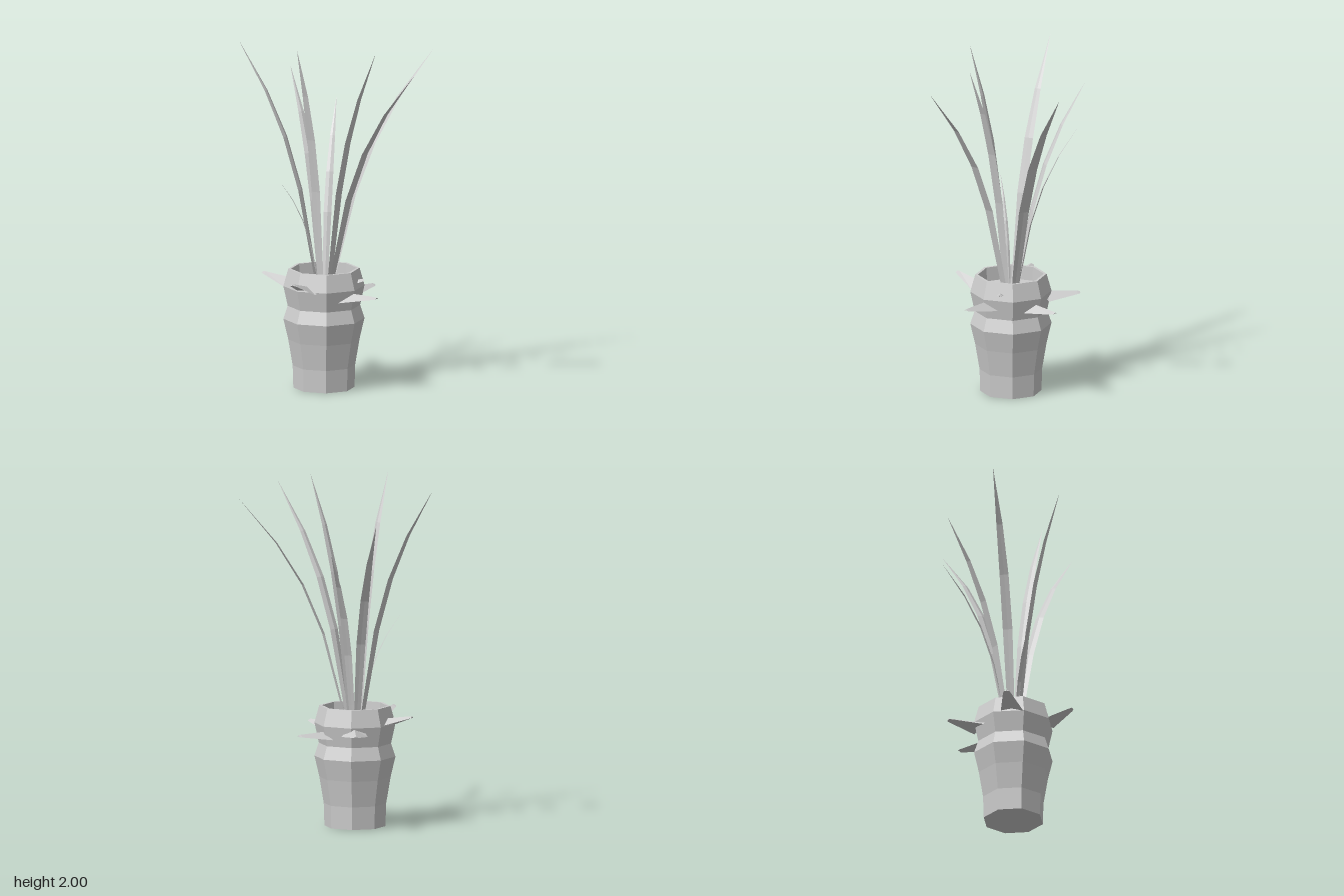
import * as THREE from 'three';

const CX = -0.09, CZ = 0.135; // pot axis

// Eight-sided faceted lathe around the pot axis
function octagon(name, profile, mat) {
  const lathe = new THREE.LatheGeometry(profile.map(p => new THREE.Vector2(...p)), 8);
  const geo = lathe.toNonIndexed();
  geo.computeVertexNormals();
  const mesh = new THREE.Mesh(geo, mat);
  mesh.name = name;
  mesh.position.set(CX, 0, CZ);
  return mesh;
}

// Folded blade: a thin chevron section swept through points with given widths
function blade(name, points, widths, fold, thick, mat) {
  const up = new THREE.Vector3(0, 1, 0);
  const last = points.length - 1;
  const rings = points.map((p, i) => {
    const d = points[Math.min(i + 1, last)].clone().sub(points[Math.max(i - 1, 0)]).normalize();
    const s = d.clone().cross(up).normalize();
    const n = s.clone().cross(d);
    const w = widths[i];
    const at = (a, b) => p.clone().addScaledVector(s, a * w).addScaledVector(n, b * w);
    return [at(0, fold), at(0.5, 0), at(0, fold - thick), at(-0.5, 0)];
  });
  const pos = [];
  const tri = (...vs) => vs.forEach(v => pos.push(v.x, v.y, v.z));
  for (let i = 0; i < last; i++) {
    for (let j = 0; j < 4; j++) {
      const k = (j + 1) % 4, A = rings[i], B = rings[i + 1];
      tri(A[j], A[k], B[k]);
      tri(A[j], B[k], B[j]);
    }
  }
  const [s, e] = [rings[0], rings[last]];
  tri(s[0], s[2], s[1]); tri(s[0], s[3], s[2]);
  tri(e[0], e[1], e[2]); tri(e[0], e[2], e[3]);
  const geo = new THREE.BufferGeometry();
  geo.setAttribute('position', new THREE.Float32BufferAttribute(pos, 3));
  geo.computeVertexNormals();
  const mesh = new THREE.Mesh(geo, mat);
  mesh.name = name;
  return mesh;
}

export function createModel() {
  const grey = new THREE.MeshStandardMaterial({ color: 0xcccccc });
  grey.name = 'light grey';
  const model = new THREE.Group();
  model.name = 'pottedPlant';

  // Pot with a waist below the rim, and the soil inside
  model.add(octagon('pot', [[0, 0], [0.174, 0], [0.178, 0.13], [0.203, 0.28], [0.231, 0.4],
    [0.206, 0.475], [0.231, 0.59], [0.203, 0.69], [0.187, 0.69], [0.182, 0.605]], grey));
  model.add(octagon('soil', [[0.184, 0.61], [0, 0.61]], grey));

  // Long leaves: tip x, y, z and a width scale
  const leaves = new THREE.Group();
  leaves.name = 'leaves';
  const tips = [
    [0.19, 1.9, -0.485, 1.1], [0.59, 1.9, 0.132, 1], [-0.595, 1.965, 0.29, 1],
    [-0.508, 1.775, -0.055, 0.95], [-0.297, 1.605, -0.21, 0.8], [-0.05, 2, 0.412, 1],
    [0.28, 1.975, 0.115, 1], [-0.237, 1.21, 0.347, 0.4],
  ];
  // Fractions of height and of outward reach along a leaf, with its width
  const stations = [[0, 0.05, 0.035], [0.1, 0.1, 0.043], [0.39, 0.25, 0.056],
    [0.61, 0.435, 0.052], [0.8, 0.67, 0.036], [1, 1, 0.001]];
  for (const [x, y, z, scale] of tips) {
    const reach = new THREE.Vector2(x - CX, z - CZ);
    const root = reach.clone().normalize().multiplyScalar(0.02);
    const pts = stations.map(([h, r]) => new THREE.Vector3(
      CX + root.x * (1 - r) + reach.x * r, 0.6 + (y - 0.6) * h, CZ + root.y * (1 - r) + reach.y * r));
    leaves.add(blade('leaf', pts, stations.map(s => s[2] * scale), 0.12, 0.1, grey));
  }
  model.add(leaves);

  // Blunt thorns through the pot wall: root, widest point, tip, width
  const thorns = new THREE.Group();
  thorns.name = 'thorns';
  const spikes = [
    [[-0.09, 0.52, 0.04], [-0.07, 0.515, -0.06], [-0.045, 0.54, -0.245], 0.14],
    [[-0.21, 0.615, 0.05], [-0.25, 0.54, 0], [-0.4, 0.562, -0.113], 0.15],
    [[-0.12, 0.615, 0.23], [-0.25, 0.58, 0.22], [-0.425, 0.643, 0.28], 0.15],
    [[0, 0.615, 0.235], [-0.045, 0.58, 0.33], [-0.02, 0.65, 0.483], 0.13],
    [[0.02, 0.53, 0.14], [0.09, 0.525, 0.14], [0.3, 0.562, 0.125], 0.16],
  ];
  for (const [a, b, c, w] of spikes) {
    const pts = [a, b, c].map(p => new THREE.Vector3(...p));
    pts.splice(2, 0, pts[1].clone().lerp(pts[2], 0.92));
    thorns.add(blade('thorn', pts, [0.025, w, 0.045, 0.03], 0.3, 0.18, grey));
  }
  // Small nub whose tip just breaks the wall
  const nub = [[0.08, 0.615, 0.065], [0.098, 0.622, 0.046], [0.118, 0.63, 0.026]];
  thorns.add(blade('nub', nub.map(p => new THREE.Vector3(...p)), [0.04, 0.04, 0.025], 0.4, 0.5, grey));
  model.add(thorns);
  return model;
}
